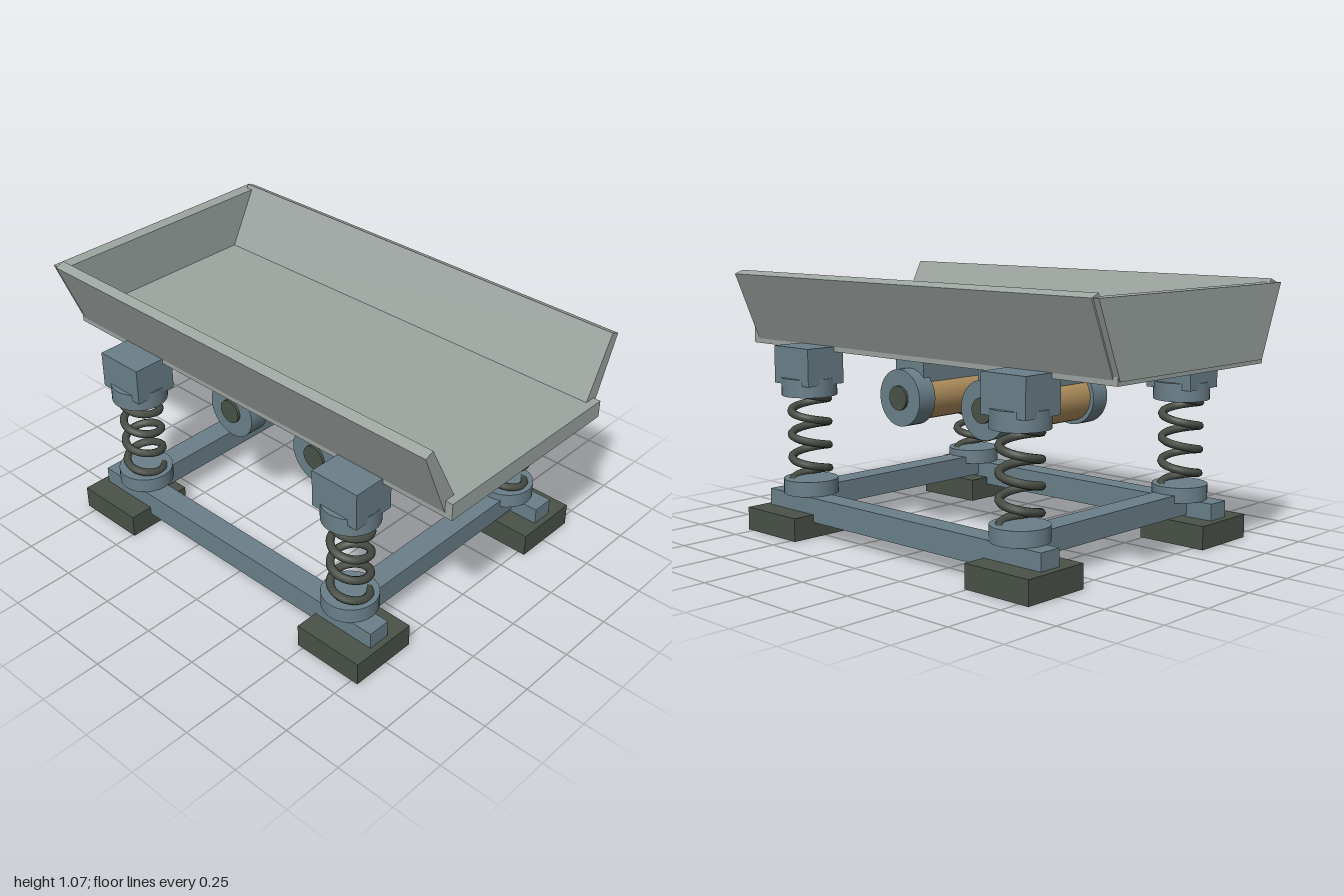
import * as THREE from 'three';

const paint = (color, side = THREE.FrontSide, flatShading = false) =>
  new THREE.MeshStandardMaterial({ color, side, flatShading });
const steel = paint(0x6b808a);
const trayGrey = paint(0x9da5a1);
const rubber = paint(0x4a5249);
const copper = paint(0xb4935f);
const wire = paint(0x474d45);

function add(parent, name, geometry, material, x = 0, y = 0, z = 0) {
  const mesh = new THREE.Mesh(geometry, material);
  mesh.name = name;
  mesh.position.set(x, y, z);
  parent.add(mesh);
  return mesh;
}
const box = (w, h, d) => new THREE.BoxGeometry(w, h, d);
const drum = (r, h) => new THREE.CylinderGeometry(r, r, h, 28);

// Straight prism along z from a closed outline in x and y
function prism(points, z0, z1) {
  const shape = new THREE.Shape(points.map(([x, y]) => new THREE.Vector2(x, y)));
  return new THREE.ExtrudeGeometry(shape, { depth: z1 - z0, bevelEnabled: false }).translate(0, 0, z0);
}

class Helix extends THREE.Curve {
  constructor(radius, height, turns) {
    super();
    Object.assign(this, { radius, height, turns });
  }
  getPoint(t, target = new THREE.Vector3()) {
    const a = t * this.turns * Math.PI * 2;
    return target.set(this.radius * Math.cos(a), this.height * t, this.radius * Math.sin(a));
  }
}

// Open-fronted trough with flared walls
function createTray() {
  const tray = new THREE.Group();
  tray.name = 'tray';
  add(tray, 'trayFloor', box(0.878, 0.07, 1.995), trayGrey, 0, 0.79, 0.002);
  for (const s of [1, -1]) {
    const outline = [[0.44, 0.775], [0.558, 1.057], [0.52, 1.072], [0.38, 0.8]];
    add(tray, s > 0 ? 'leftWall' : 'rightWall',
      prism(outline.map(([x, y]) => [s * x, y]), -0.975, 0.968), trayGrey);
  }
  add(tray, 'backWall',
    prism([[-0.432, 0.77], [0.432, 0.77], [0.55, 1.057], [-0.55, 1.057]], -1, -0.944), trayGrey);
  return tray;
}

// Foot pad and spring column for one corner
function createCorner(sx, sz) {
  const corner = new THREE.Group();
  corner.name = 'corner';
  const x = sx * 0.483, z = sz * 0.588 - 0.008;
  add(corner, 'footPad', box(0.292, 0.096, 0.306), rubber, sx * 0.513, 0.048, sz * 0.635 - 0.008);
  add(corner, 'lowerSpringCup', drum(0.113, 0.062), steel, x, 0.195, z);
  const coil = new THREE.TubeGeometry(new Helix(0.076, 0.39, 4), 160, 0.0165, 8);
  add(corner, 'spring', coil, wire, x, 0.205, z);
  add(corner, 'upperSpringCup', drum(0.114, 0.074), steel, x, 0.611, z);
  add(corner, 'trayBracket', box(0.184, 0.154, 0.216), steel, x, 0.699, z);
  return corner;
}

// Vibration motor lying across the tray
function createMotor(z) {
  const motor = new THREE.Group();
  motor.name = 'vibrationMotor';
  motor.position.set(0, 0.576, z);
  const across = (r, len) => drum(r, len).rotateZ(Math.PI / 2);
  add(motor, 'motorBody', across(0.1, 0.46), copper);
  add(motor, 'motorMount', box(0.494, 0.125, 0.163), steel, 0, 0.1265, 0);
  for (const s of [1, -1]) {
    add(motor, 'endCap', across(0.117, 0.087), steel, s * 0.26, 0, 0);
    add(motor, 'shaftHub', across(0.05, 0.04), rubber, s * 0.295, 0, 0);
  }
  return motor;
}

export function createModel() {
  const model = new THREE.Group();
  model.name = 'vibratingFeeder';
  model.add(createTray());

  // Base frame
  for (const s of [1, -1]) {
    add(model, 'sideRail', box(0.097, 0.101, 1.52), steel, s * 0.513, 0.1145, -0.006);
    add(model, 'crossRail', box(0.93, 0.091, 0.1), steel, 0, 0.1495, s * 0.588 - 0.008);
  }

  for (const sx of [1, -1]) for (const sz of [1, -1]) model.add(createCorner(sx, sz));
  for (const z of [0.227, -0.24]) model.add(createMotor(z));
  return model;
}
